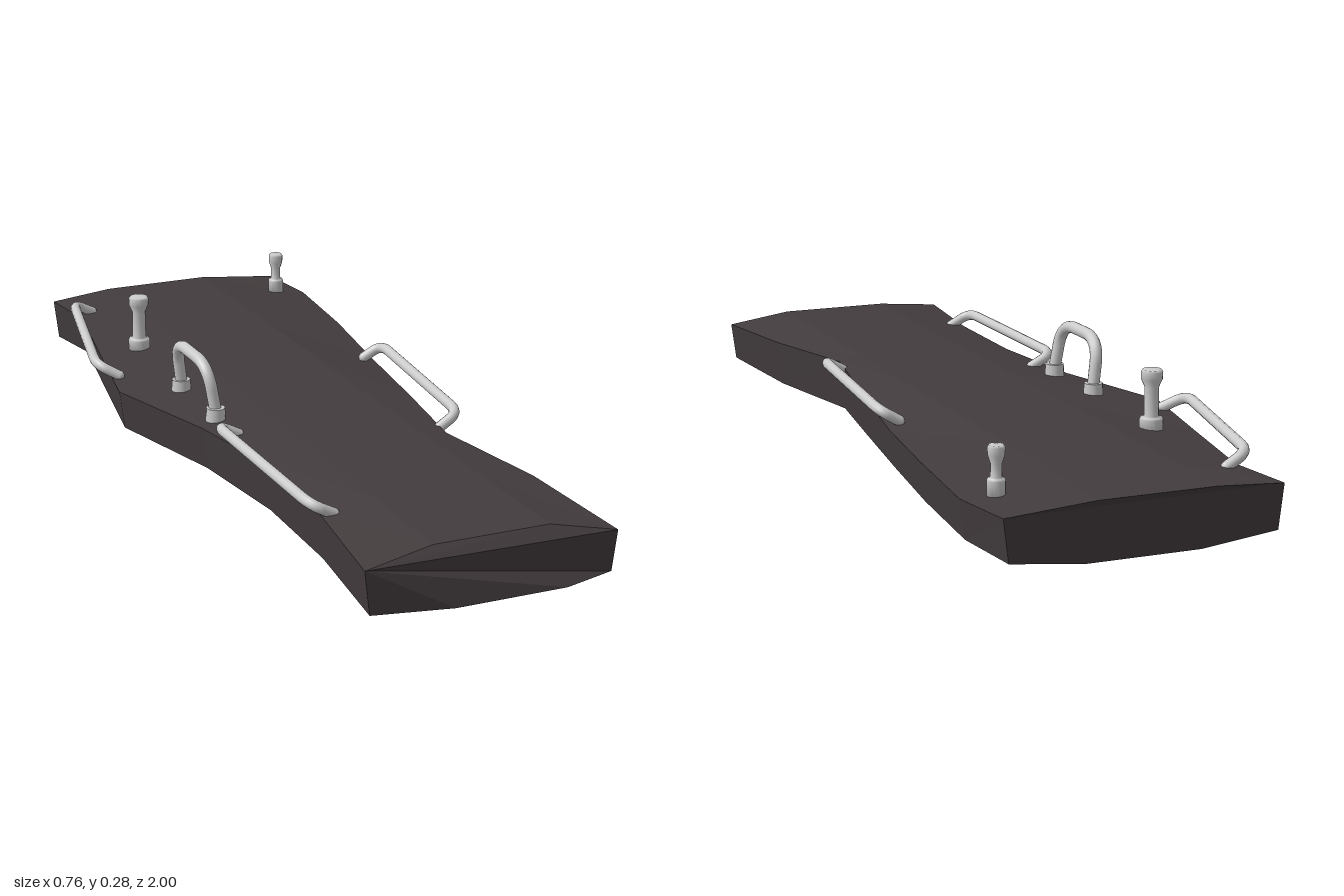
import * as THREE from 'three';

const V = (x, y, z) => new THREE.Vector3(x, y, z);
const metal = new THREE.MeshStandardMaterial({ color: 0xcccccc });
const slate = new THREE.MeshStandardMaterial({ color: 0x433c3e, flatShading: true });

function add(parent, name, geometry, material = metal) {
  const mesh = new THREE.Mesh(geometry, material);
  mesh.name = name;
  parent.add(mesh);
  return mesh;
}

// Irregular slab: eight-sided cross-sections joined along z
function slabGeometry() {
  // z, left x, right x, left edge y, right edge y, crown y, lower edge y, belly y
  const rows = [
    [-0.99, -0.28, 0.352, 0.13, 0.125, 0.143, 0.03, 0.010],
    [-0.82, -0.258, 0.375, 0.13, 0.123, 0.146, 0.035, 0.006],
    [-0.53, -0.312, 0.347, 0.128, 0.125, 0.148, 0.035, 0.012],
    [-0.24, -0.365, 0.308, 0.128, 0.122, 0.148, 0.035, 0.022],
    [0.08, -0.278, 0.258, 0.13, 0.133, 0.148, 0.03, 0.012],
    [0.36, -0.238, 0.21, 0.136, 0.142, 0.149, 0.022, 0.0],
    [0.66, -0.246, 0.272, 0.134, 0.134, 0.15, 0.025, 0.008],
    [0.975, -0.285, 0.3, 0.13, 0.122, 0.15, 0.03, 0.024],
  ];
  const rings = rows.map(([z, l, r, yl, yr, top, low, belly], i) => {
    const end = i === 0 ? -1 : i === rows.length - 1 ? 1 : 0;
    const crownZ = z + (end > 0 ? -0.025 : end < 0 ? -0.01 : 0);
    const bellyZ = z + (end > 0 ? 0.025 : 0);
    return [
      V(l, yl, z), V(-0.12, top, crownZ), V(0.15, top, crownZ), V(r, yr, z),
      V(r - 0.012, low, z), V(0.17, belly, bellyZ), V(-0.09, belly, bellyZ), V(l + 0.012, low, z),
    ];
  });
  const points = [];
  const tri = (...p) => p.forEach(v => points.push(v.x, v.y, v.z));
  for (let i = 0; i < rings.length - 1; i++) {
    for (let j = 0; j < 8; j++) {
      const k = (j + 1) % 8;
      const a = rings[i][j], b = rings[i][k], c = rings[i + 1][k], d = rings[i + 1][j];
      tri(a, d, c);
      tri(a, c, b);
    }
  }
  const front = rings[rings.length - 1], back = rings[0];
  for (let j = 1; j < 7; j++) {
    tri(front[0], front[j + 1], front[j]);
    tri(back[0], back[j], back[j + 1]);
  }
  const g = new THREE.BufferGeometry();
  g.setAttribute('position', new THREE.Float32BufferAttribute(points, 3));
  g.computeVertexNormals();
  return g;
}

// Bent rod: straight runs with rounded corners, plus ball ends
function rod(parent, name, pts, radius, bend) {
  const path = new THREE.CurvePath();
  let from = pts[0];
  for (let i = 1; i < pts.length - 1; i++) {
    const p = pts[i];
    const near = q => p.clone().add(q.clone().sub(p).setLength(Math.min(bend, p.distanceTo(q) * 0.48)));
    const a = near(pts[i - 1]), b = near(pts[i + 1]);
    path.add(new THREE.LineCurve3(from, a));
    path.add(new THREE.QuadraticBezierCurve3(a, p, b));
    from = b;
  }
  path.add(new THREE.LineCurve3(from, pts[pts.length - 1]));
  add(parent, name, new THREE.TubeGeometry(path, 80, radius, 12));
  for (const p of [pts[0], pts[pts.length - 1]]) {
    add(parent, name + 'End', new THREE.SphereGeometry(radius, 12, 8)).position.copy(p);
  }
}

// Lathed post with a collar at the foot and a flared head
function post(parent, name, x, z, height, r) {
  const y0 = 0.125, top = y0 + height;
  const profile = [
    [0, y0], [r, y0], [r, 0.16], [r * 0.9, 0.165], [r * 0.62, 0.167], [r * 0.6, top - 0.04],
    [r * 0.9, top - 0.022], [r * 0.92, top - 0.005], [r * 0.8, top], [0, top],
  ].map(p => new THREE.Vector2(...p));
  const geometry = new THREE.LatheGeometry(profile, 16);
  add(parent, name, geometry).position.set(x, 0, z);
}

export function createModel() {
  const model = new THREE.Group();
  model.name = 'slabWithHandles';
  add(model, 'slab', slabGeometry(), slate);

  // Low side rails
  const rails = [
    ['rearRightRail', [-0.22, -0.85], [-0.272, -0.845], [-0.38, -0.36], [-0.33, -0.335]],
    ['frontRightRail', [-0.22, 0.16], [-0.273, 0.16], [-0.273, 0.685], [-0.22, 0.685]],
    ['leftRail', [0.275, -0.22], [0.322, -0.215], [0.272, 0.3], [0.222, 0.305]],
  ];
  for (const [name, ...p] of rails) {
    const pts = p.map(([x, z], i) => V(x, i === 0 || i === 3 ? 0.135 : 0.163, z));
    rod(model, name, pts, 0.0125, 0.05);
  }

  // Upright arched grip with collars, leaning slightly outwards
  const grip = new THREE.Group();
  grip.name = 'archedGrip';
  model.add(grip);
  rod(grip, 'gripArch', [
    V(-0.23, 0.145, 0.05), V(-0.248, 0.267, 0.04), V(-0.248, 0.267, -0.16), V(-0.23, 0.145, -0.17),
  ], 0.0145, 0.07);
  for (const z of [0.05, -0.17]) {
    add(grip, 'gripCollar', new THREE.CylinderGeometry(0.022, 0.024, 0.04, 16)).position.set(-0.232, 0.145, z);
  }

  // Standing posts
  post(model, 'tallPost', -0.213, -0.51, 0.148, 0.027);
  post(model, 'shortPost', 0.303, -0.84, 0.11, 0.02);
  return model;
}
